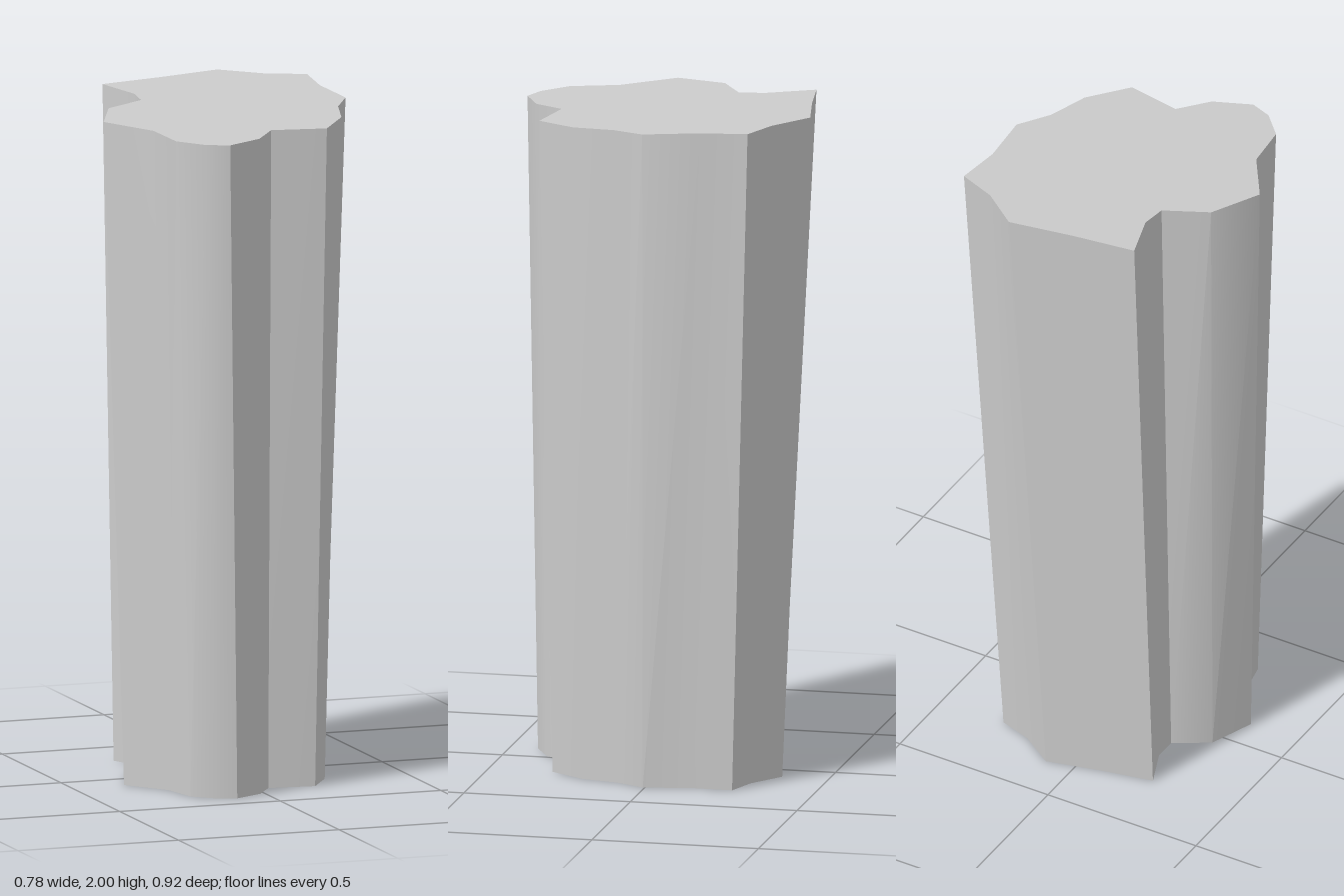
import * as THREE from 'three';
import { toCreasedNormals } from 'three/addons/utils/BufferGeometryUtils.js';

// Outline of the top rim as [x, z], clockwise seen from above
const OUTLINE = [
  [-0.228, -0.39], [-0.04, -0.42], [0.155, -0.46], [0.27, -0.37], [0.385, -0.325],
  [0.372, -0.18], [0.39, -0.01], [0.33, 0.09], [0.293, 0.22], [0.203, 0.342],
  [0.04, 0.313], [-0.03, 0.405], [-0.14, 0.457], [-0.205, 0.433], [-0.273, 0.36],
  [-0.29, 0.215], [-0.39, 0.063], [-0.317, -0.095], [-0.19, -0.165], [-0.182, -0.245],
];

// The top slopes gently upwards to the back
const topHeight = (x, z) => 1.975 - 0.052 * z + 0.01 * x;

const topPoint = ([x, z]) => [x, topHeight(x, z), z];

// The foot is a slightly narrower, shifted copy of the rim
const footPoint = ([x, z]) => [
  x - 0.014 - 0.155 * x + 0.063 * z,
  0,
  z + 0.03 - 0.04 * x - 0.165 * z,
];

// Tapered wall between rim and foot, open at the bottom
function wallGeometry() {
  const positions = [];
  OUTLINE.forEach((p, i) => {
    const q = OUTLINE[(i + 1) % OUTLINE.length];
    const [a, b, c, d] = [topPoint(p), topPoint(q), footPoint(q), footPoint(p)];
    positions.push(...a, ...b, ...c, ...a, ...c, ...d);
  });
  const geometry = new THREE.BufferGeometry();
  geometry.setAttribute('position', new THREE.Float32BufferAttribute(positions, 3));
  return toCreasedNormals(geometry, 0.6);
}

// Sloping cap that closes the top
function capGeometry() {
  const shape = new THREE.Shape(OUTLINE.map(([x, z]) => new THREE.Vector2(x, -z)));
  const geometry = new THREE.ShapeGeometry(shape).rotateX(-Math.PI / 2);
  const pos = geometry.attributes.position;
  for (let i = 0; i < pos.count; i++) pos.setY(i, topHeight(pos.getX(i), pos.getZ(i)));
  geometry.computeVertexNormals();
  return geometry;
}

export function createModel() {
  const material = new THREE.MeshStandardMaterial({ color: 0xcccccc, side: THREE.DoubleSide });
  const group = new THREE.Group();
  group.name = 'rockColumn';

  const wall = new THREE.Mesh(wallGeometry(), material);
  wall.name = 'columnWall';
  const cap = new THREE.Mesh(capGeometry(), material);
  cap.name = 'columnTop';

  group.add(wall, cap);
  return group;
}
